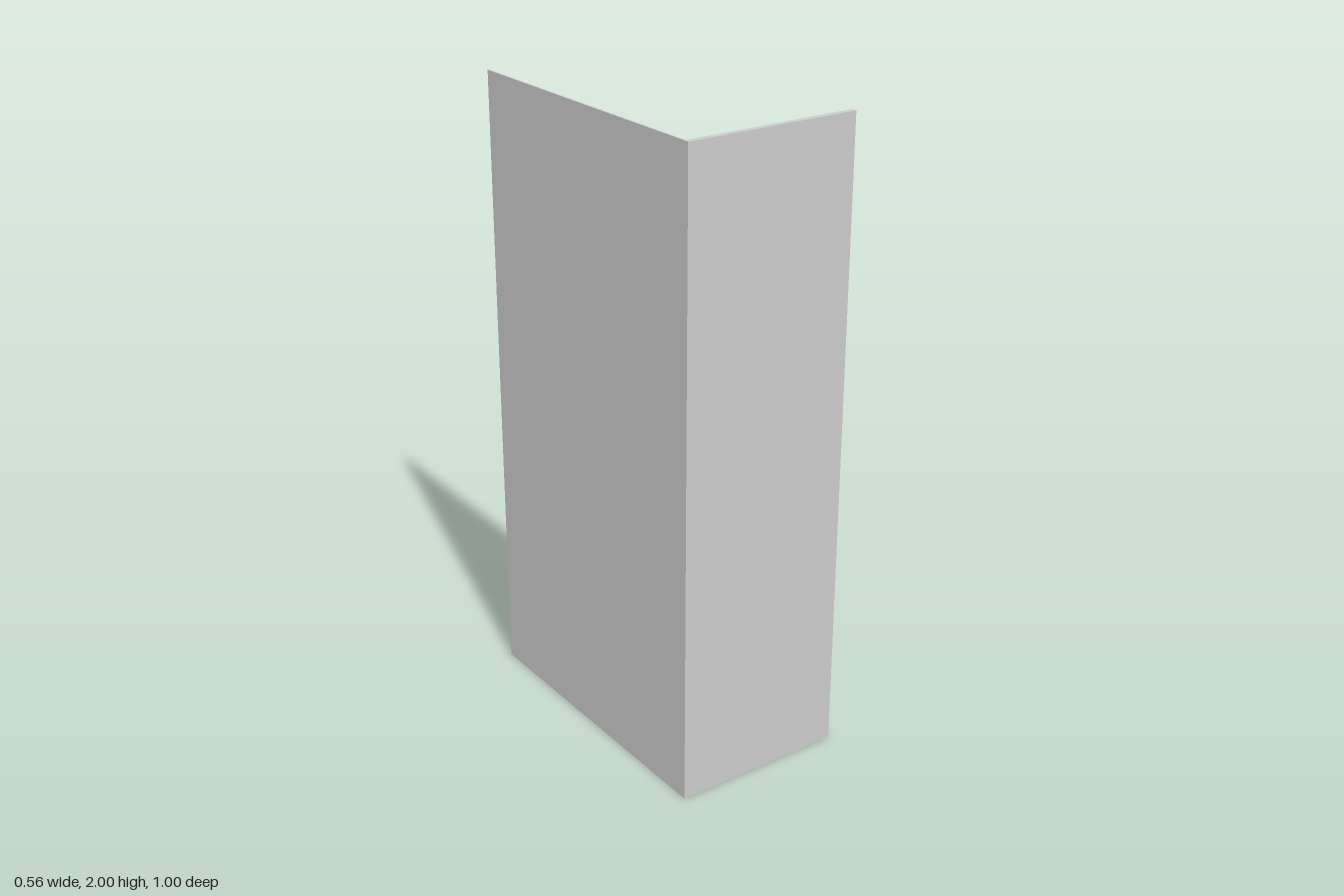
import * as THREE from 'three';

// Overall size and panel thicknesses
const W = 0.56, H = 2, D = 1;
const T = 0.018, SIDE_T = 0.006;

export function createModel() {
  const group = new THREE.Group();
  const material = new THREE.MeshStandardMaterial({ color: 0xcccccc });

  // Box panel given by its lower and upper corners
  const panel = (name, min, max) => {
    const size = max.map((v, i) => v - min[i]);
    const mesh = new THREE.Mesh(new THREE.BoxGeometry(...size), material);
    mesh.position.set(...max.map((v, i) => (v + min[i]) / 2));
    mesh.name = name;
    group.add(mesh);
  };

  const x = W / 2, z = D / 2;
  // Tall front panel across the full width
  panel('frontPanel', [-x, 0, z - T], [x, H, z]);
  // Thin side wall running back from the front panel
  panel('sidePanel', [-x, 0, -z], [-x + SIDE_T, H, z - T]);
  // Floor between the two walls
  panel('basePanel', [-x + SIDE_T, 0, -z], [x, T, z - T]);

  return group;
}
